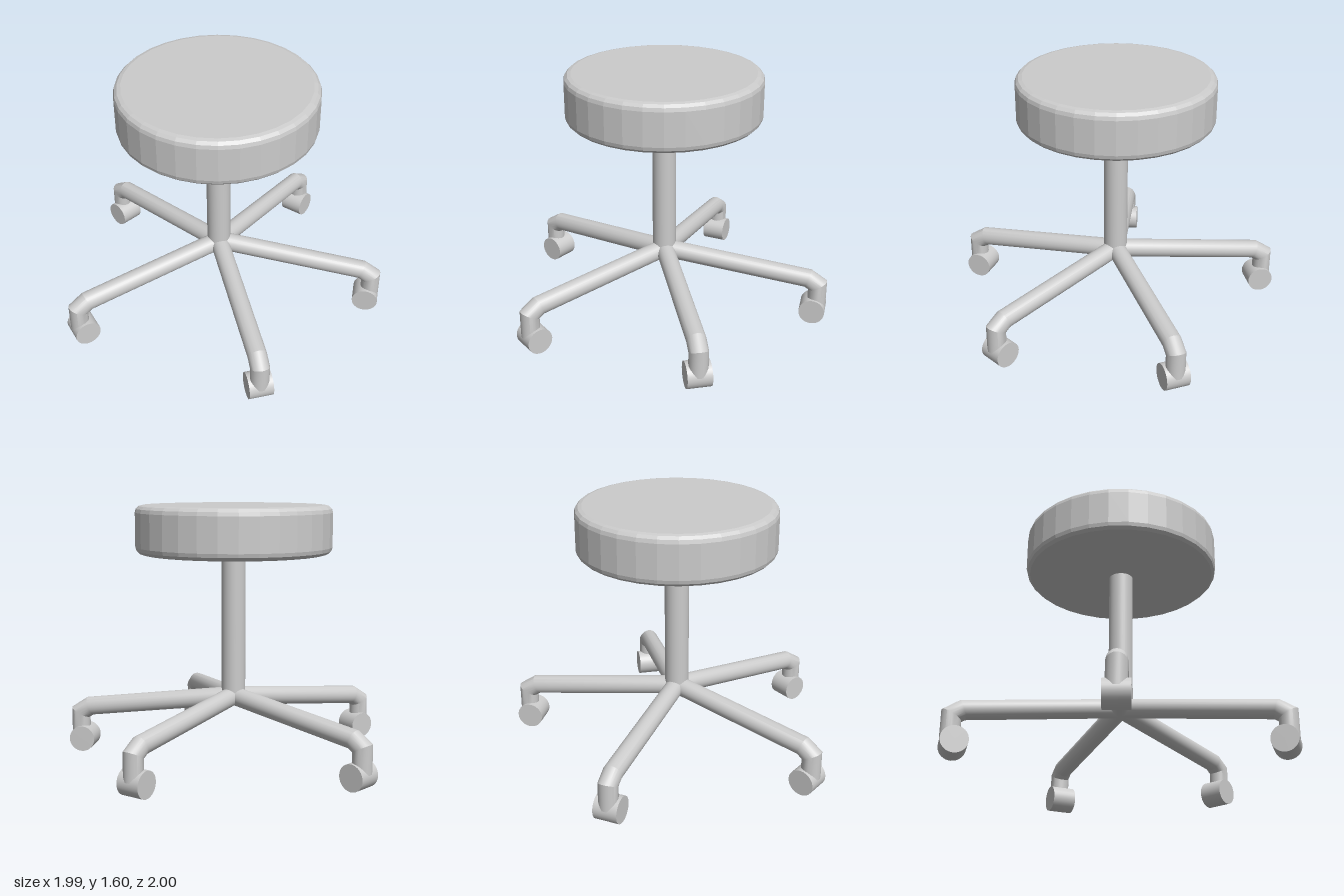
import * as THREE from 'three';
import { toCreasedNormals } from 'three/addons/utils/BufferGeometryUtils.js';

const material = new THREE.MeshStandardMaterial({ color: 0xcccccc });
const flatMaterial = new THREE.MeshStandardMaterial({ color: 0xcccccc, flatShading: true });

function addMesh(parent, name, geometry, mat = material) {
  const mesh = new THREE.Mesh(geometry, mat);
  mesh.name = name;
  parent.add(mesh);
  return mesh;
}

// Straight pipe sections with mitred bends: each cylinder row moves onto a path point
function bentPipe(path, radius) {
  const rows = path.length - 1;
  const geometry = new THREE.CylinderGeometry(1, 1, rows, 24, rows);
  const position = geometry.attributes.position;
  const direction = (i) => path[i + 1].clone().sub(path[i]).normalize();
  const sides = path.map((_, i) => {
    const before = direction(Math.max(i - 1, 0));
    const after = direction(Math.min(i, rows - 1));
    const t = before.clone().add(after).normalize();
    return new THREE.Vector2(-t.y, t.x).divideScalar(t.dot(after));
  });
  for (let i = 0; i < position.count; i++) {
    const row = Math.round(rows / 2 - position.getY(i));
    const p = path[row].clone().addScaledVector(sides[row], position.getX(i) * radius);
    position.setXYZ(i, p.x, p.y, position.getZ(i) * radius);
  }
  return toCreasedNormals(geometry, 0.4);
}

// Round cushion profile with rounded rims
function seatGeometry(radius, bottom, top, rim) {
  const points = [new THREE.Vector2(0, bottom)];
  for (const [y, start] of [[bottom + rim, -90], [top - rim, 0]]) {
    for (let i = 0; i <= 3; i++) {
      const a = THREE.MathUtils.degToRad(start + i * 30);
      points.push(new THREE.Vector2(radius - rim + rim * Math.cos(a), y + rim * Math.sin(a)));
    }
  }
  points.push(new THREE.Vector2(0, top));
  return new THREE.LatheGeometry(points, 32);
}

export function createModel() {
  const stool = new THREE.Group();
  stool.name = 'stool';
  const body = new THREE.Group();
  body.name = 'body';
  body.position.x = -0.08;
  stool.add(body);

  addMesh(body, 'seat', seatGeometry(0.61, 1.295, 1.595, 0.045), flatMaterial);

  // Central column
  const column = addMesh(body, 'column', new THREE.CylinderGeometry(0.075, 0.075, 0.9, 32));
  column.position.y = 0.87;

  // Five bent legs, each ending in a roller
  const legPath = [[0, 0.392], [0.945, 0.287], [1.008, 0.246], [1.008, 0.1]]
    .map(([x, y]) => new THREE.Vector2(x, y));
  const legGeometry = bentPipe(legPath, 0.059);
  const casterGeometry = new THREE.CylinderGeometry(0.082, 0.082, 0.15, 32).rotateX(Math.PI / 2);
  [0, 65.3, 145.3, -140.2, -65.3].forEach((angle, i) => {
    const leg = new THREE.Group();
    leg.name = `legAssembly${i + 1}`;
    leg.rotation.y = THREE.MathUtils.degToRad(angle);
    addMesh(leg, 'leg', legGeometry);
    addMesh(leg, 'caster', casterGeometry).position.set(0.985, 0.082, 0);
    body.add(leg);
  });

  return stool;
}
